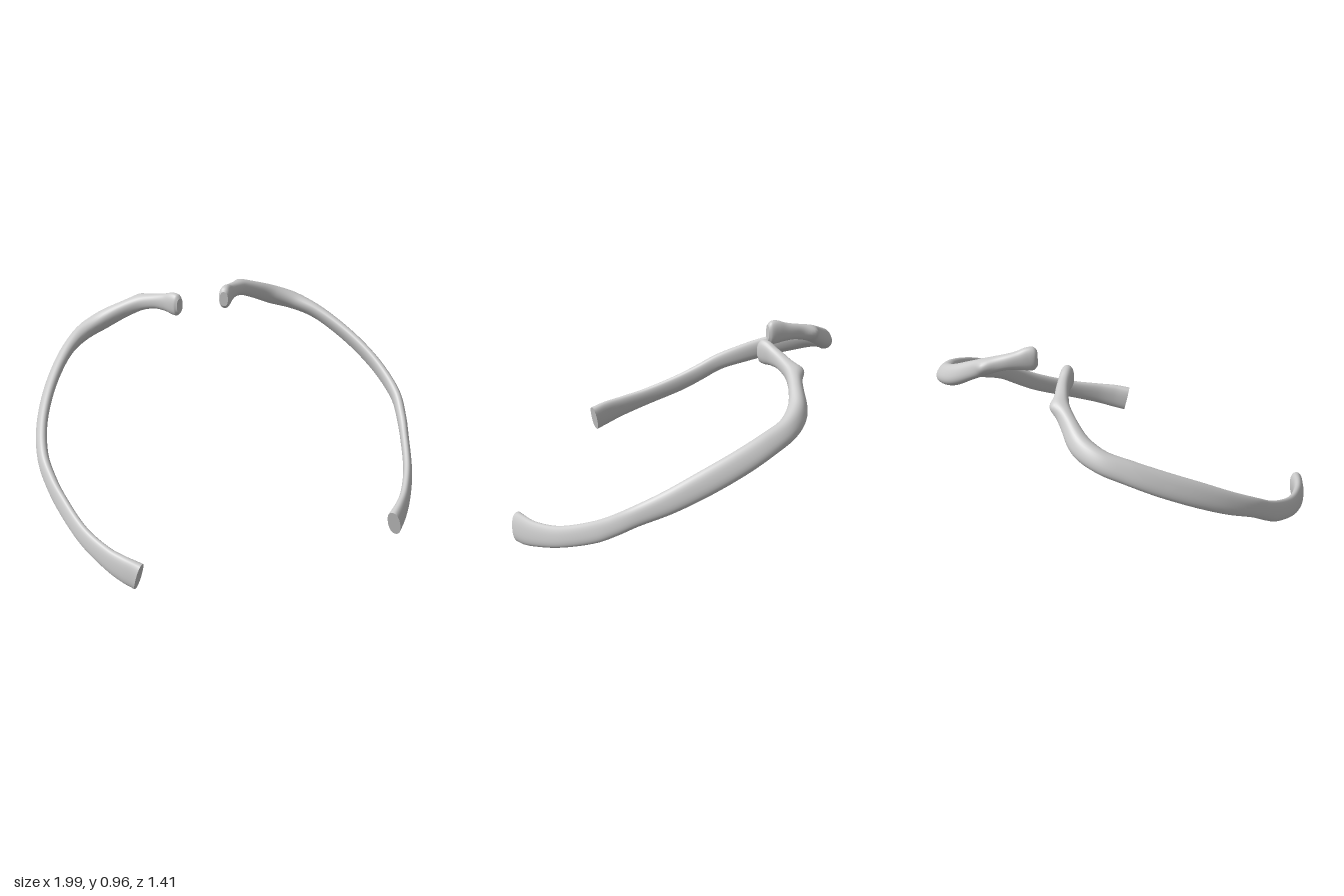
import * as THREE from 'three';

// Stations from the head (back) to the front end:
// centre x, y, z, half height, half thickness, inward lean in degrees
const STATIONS = [
  [0.122, 0.905, -0.418, 0.042, 0.022, 0],
  [0.130, 0.905, -0.432, 0.060, 0.031, 0],
  [0.148, 0.903, -0.458, 0.061, 0.032, 0],
  [0.175, 0.897, -0.495, 0.049, 0.030, 0],
  [0.220, 0.887, -0.545, 0.040, 0.032, 0],
  [0.290, 0.860, -0.603, 0.042, 0.036, 5],
  [0.380, 0.815, -0.638, 0.047, 0.036, 15],
  [0.490, 0.758, -0.661, 0.054, 0.044, 25],
  [0.600, 0.717, -0.637, 0.054, 0.042, 34],
  [0.700, 0.676, -0.562, 0.057, 0.033, 35],
  [0.795, 0.614, -0.450, 0.060, 0.029, 30],
  [0.885, 0.535, -0.300, 0.060, 0.027, 24],
  [0.945, 0.455, -0.150, 0.055, 0.026, 17],
  [0.970, 0.378, 0.000, 0.048, 0.026, 10],
  [0.957, 0.308, 0.110, 0.049, 0.025, 8],
  [0.932, 0.250, 0.210, 0.052, 0.023, 8],
  [0.868, 0.167, 0.400, 0.053, 0.023, 8],
  [0.785, 0.118, 0.550, 0.063, 0.025, 6],
  [0.725, 0.096, 0.625, 0.073, 0.029, 5],
  [0.668, 0.079, 0.680, 0.076, 0.034, 5],
];
const RINGS = 150;
const SIDES = 28;

const path = new THREE.CatmullRomCurve3(STATIONS.map((s) => new THREE.Vector3(s[0], s[1], s[2])));
const sizes = new THREE.CatmullRomCurve3(
  STATIONS.map((s) => new THREE.Vector3(s[3], s[4], s[5] / 100)), false, 'catmullrom');

// Small bump on the back of the neck
const BUMP = new THREE.Vector3(0.272, 0.868, -0.63);
const BUMP_PUSH = new THREE.Vector3(-0.008, 0.004, -0.024);

const softPower = (v) => Math.sign(v) * Math.pow(Math.abs(v), 0.88);

// One closed cross-section of the bone
function section(u) {
  const centre = path.getPoint(u);
  const size = sizes.getPoint(u);
  const tangent = path.getTangent(u);
  const up = new THREE.Vector3(0, 1, 0).addScaledVector(tangent, -tangent.y).normalize();
  const out = new THREE.Vector3().crossVectors(up, tangent);
  const lean = THREE.MathUtils.degToRad(size.z * 100);
  const tall = up.clone().multiplyScalar(Math.cos(lean)).addScaledVector(out, -Math.sin(lean));
  const thin = out.clone().multiplyScalar(Math.cos(lean)).addScaledVector(up, Math.sin(lean));
  const ring = [];
  for (let j = 0; j < SIDES; j++) {
    const a = (j / SIDES) * Math.PI * 2;
    const p = centre.clone()
      .addScaledVector(thin, size.y * softPower(Math.cos(a)))
      .addScaledVector(tall, size.x * softPower(Math.sin(a)));
    const d = p.distanceTo(BUMP);
    p.addScaledVector(BUMP_PUSH, Math.exp(-(d * d) / 0.0016));
    ring.push(p);
  }
  return ring;
}

function toGeometry(points, index, side) {
  const geometry = new THREE.BufferGeometry().setFromPoints(points);
  if (side < 0) {
    geometry.scale(-1, 1, 1);
    index.reverse();
  }
  geometry.setIndex(index);
  geometry.computeVertexNormals();
  return geometry;
}

// Smooth bone surface through all sections
function shaftGeometry(side) {
  const points = [];
  const index = [];
  for (let i = 0; i <= RINGS; i++) points.push(...section(i / RINGS));
  for (let i = 0; i < RINGS; i++) {
    for (let j = 0; j < SIDES; j++) {
      const k = (j + 1) % SIDES;
      const a = i * SIDES + j, b = i * SIDES + k;
      index.push(a, b, a + SIDES, b, b + SIDES, a + SIDES);
    }
  }
  // out x tall points back along the path, so flip to face outward
  index.reverse();
  return toGeometry(points, index, side);
}

// Flat cap with a crisp rim
function capGeometry(u, side) {
  const ring = section(u);
  const centre = ring.reduce((sum, p) => sum.add(p), new THREE.Vector3()).divideScalar(SIDES);
  const index = [];
  for (let j = 0; j < SIDES; j++) index.push(SIDES, j, (j + 1) % SIDES);
  if (u === 1) index.reverse();
  return toGeometry([...ring, centre], index, side);
}

export function createModel() {
  const model = new THREE.Group();
  model.name = 'ribPair';
  const material = new THREE.MeshStandardMaterial({ color: 0xcccccc, side: THREE.DoubleSide });
  for (const [name, side] of [['leftRib', 1], ['rightRib', -1]]) {
    const rib = new THREE.Group();
    rib.name = name;
    const add = (part, geometry) => {
      const mesh = new THREE.Mesh(geometry, material);
      mesh.name = part;
      rib.add(mesh);
    };
    add('shaft', shaftGeometry(side));
    add('headCap', capGeometry(0, side));
    add('frontEndCap', capGeometry(1, side));
    model.add(rib);
  }
  return model;
}
